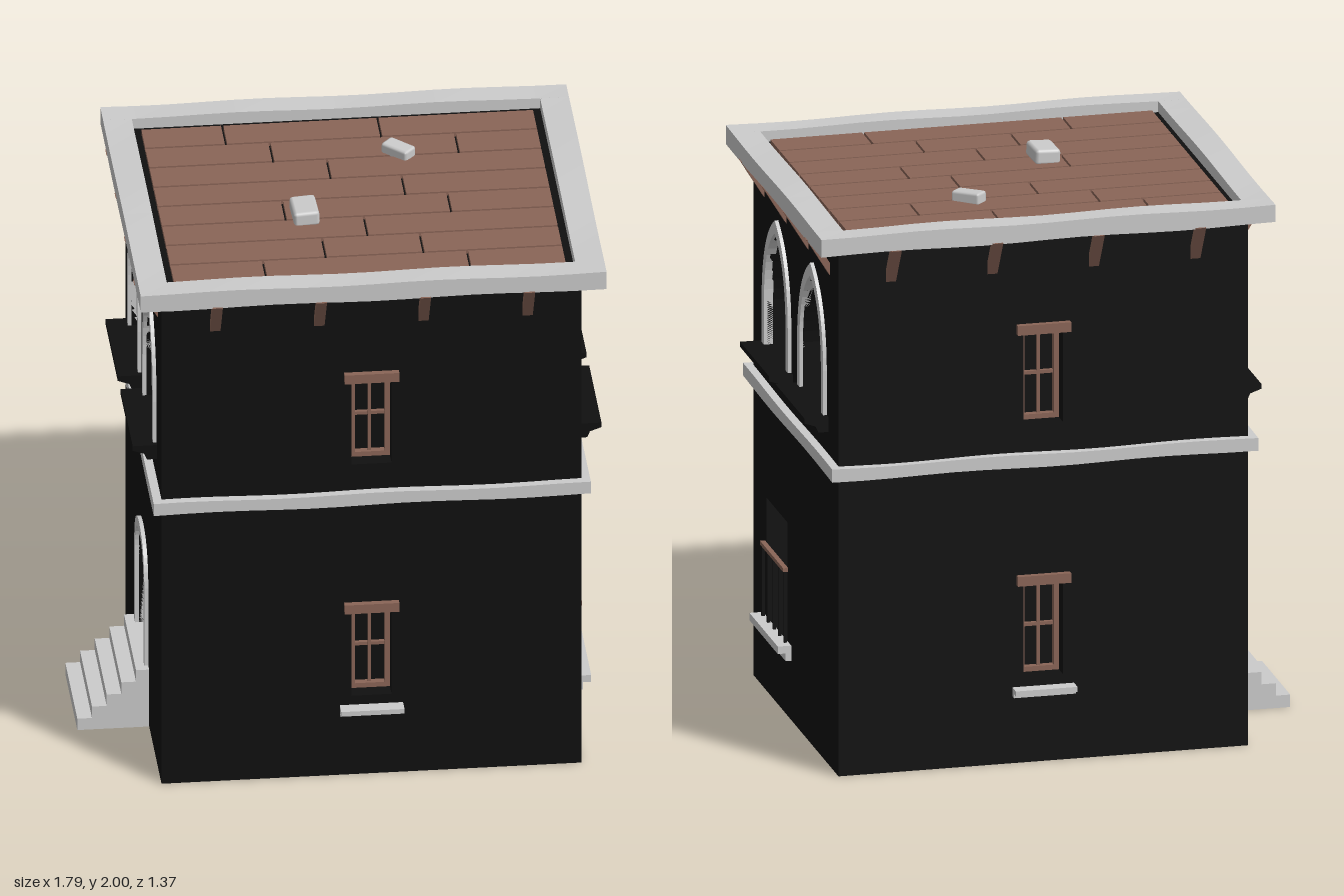
import * as THREE from 'three';
import { RoundedBoxGeometry } from 'three/addons/geometries/RoundedBoxGeometry.js';

const stone = new THREE.MeshStandardMaterial({ color: 0xcccccc });
const wood = new THREE.MeshStandardMaterial({ color: 0x8a6557 });
const dark = new THREE.MeshStandardMaterial({ color: 0x101010 });
const darkThin = new THREE.MeshStandardMaterial({ color: 0x101010, side: THREE.DoubleSide });

const HX = 0.73, HZ = 0.6, TOP = 1.93, RECESS = 0.08;

function add(parent, name, geo, mat, x = 0, y = 0, z = 0) {
  const m = new THREE.Mesh(geo, mat);
  m.name = name;
  m.position.set(x, y, z);
  parent.add(m);
  return m;
}

// Box given by its limits
function box(parent, name, mat, x0, x1, y0, y1, z0, z1) {
  return add(parent, name, new THREE.BoxGeometry(x1 - x0, y1 - y0, z1 - z0), mat,
    (x0 + x1) / 2, (y0 + y1) / 2, (z0 + z1) / 2);
}

// Side profile [outward, height] run along a wall for the given width
function moulding(parent, name, mat, profile, width, x) {
  const s = new THREE.Shape(profile.map(p => new THREE.Vector2(...p)));
  const g = new THREE.ExtrudeGeometry(s, { depth: width, bevelEnabled: false });
  g.translate(0, 0, -width / 2).rotateY(-Math.PI / 2);
  return add(parent, name, g, mat, x);
}

// Outlines for openings
function rect(c, h, y0, y1) {
  return [[-h, y0], [h, y0], [h, y1], [-h, y1]].map(p => new THREE.Vector2(c + p[0], p[1]));
}
function arch(c, h, y0, spring, top, cx, cy) {
  const s = new THREE.Shape();
  s.moveTo(c - h, y0);
  s.lineTo(c + h, y0);
  s.lineTo(c + h, spring);
  s.quadraticCurveTo(c + cx, cy, c, top);
  s.quadraticCurveTo(c - cx, cy, c - h, spring);
  return s.getPoints(10);
}

// Flat border between two outlines
function border(parent, name, mat, outer, inner, z, depth) {
  const s = new THREE.Shape(outer);
  s.holes.push(new THREE.Path(inner));
  return add(parent, name, new THREE.ExtrudeGeometry(s, { depth, bevelEnabled: false }), mat, 0, 0, z);
}

// Recess behind an opening: side faces and a back panel
function recess(parent, pts) {
  const pos = [];
  pts.forEach((a, i) => {
    const b = pts[(i + 1) % pts.length], d = -RECESS;
    pos.push(a.x, a.y, 0, a.x, a.y, d, b.x, b.y, d, a.x, a.y, 0, b.x, b.y, d, b.x, b.y, 0);
  });
  const g = new THREE.BufferGeometry();
  g.setAttribute('position', new THREE.Float32BufferAttribute(pos, 3));
  g.computeVertexNormals();
  add(parent, 'reveal', g, darkThin);
  add(parent, 'pane', new THREE.ShapeGeometry(new THREE.Shape(pts)), darkThin, 0, 0, -RECESS);
}

// Wall facing local +z, with openings cut through
function makeWall(root, name, half, dist, angle, openings) {
  const wall = new THREE.Group();
  wall.name = name;
  wall.rotation.y = angle;
  wall.position.set(Math.sin(angle) * dist, 0, Math.cos(angle) * dist);
  root.add(wall);
  const s = new THREE.Shape(rect(0, half, 0, TOP));
  openings.forEach(o => { s.holes.push(new THREE.Path(o)); recess(wall, o); });
  add(wall, 'wallFace', new THREE.ShapeGeometry(s), darkThin);

  // Slanted eave brackets
  const step = half === HX ? 0.362 : 0.31;
  for (let i = -1.5; i <= 1.5; i++)
    moulding(wall, 'eaveBracket', wood, [[0, 1.78], [0.083, 1.915], [0.055, 1.915], [0, 1.825]], 0.036, i * step);
  return wall;
}

function smallWindow(wall, y0, y1) {
  border(wall, 'windowFrame', wood, rect(0, 0.07, y0, y1), rect(0, 0.052, y0 + 0.018, y1 - 0.01), -RECESS, 0.025);
  const m = (y0 + y1) / 2;
  box(wall, 'windowBar', wood, -0.006, 0.006, y0, y1, -RECESS, -0.065);
  box(wall, 'windowBar', wood, -0.06, 0.06, m - 0.006, m + 0.006, -RECESS, -0.066);
  box(wall, 'lintel', wood, -0.095, 0.095, y1, y1 + 0.035, -0.02, 0.022);
}

function archWindow(wall, c) {
  border(wall, 'archSurround', stone, arch(c, 0.185, 1.25, 1.42, 1.757, 0.18, 1.66),
    arch(c, 0.152, 1.252, 1.42, 1.71, 0.147, 1.63), -0.02, 0.033);
  for (const y of [1.34, 1.445, 1.55])
    box(wall, 'windowBar', wood, c - 0.122, c + 0.122, y - 0.007, y + 0.007, -RECESS, -0.06);
  box(wall, 'windowBar', wood, c - 0.007, c + 0.007, 1.25, 1.56, -RECESS, -0.062);
  for (const s of [-1, 1]) {
    const curve = new THREE.QuadraticBezierCurve3(new THREE.Vector3(c, 1.55, -0.07),
      new THREE.Vector3(c + s * 0.012, 1.605, -0.07), new THREE.Vector3(c + s * 0.065, 1.63, -0.07));
    add(wall, 'tracery', new THREE.TubeGeometry(curve, 8, 0.006, 4), wood);
  }
  moulding(wall, 'archSill', dark,
    [[-0.02, 1.205], [0.035, 1.205], [0.045, 1.228], [0.085, 1.242], [0.085, 1.26], [-0.02, 1.26]], 0.41, c);
}

// Four stone beams around the building, gently uneven
function stoneRing(root, name, ox, oz, ix, iz, y0, y1) {
  const wobbly = (x0, x1, z0, z1) => {
    let g = new THREE.BoxGeometry(x1 - x0, y1 - y0, z1 - z0, x1 - x0 > 1 ? 14 : 1, 1, x1 - x0 > 1 ? 1 : 12);
    g.translate((x0 + x1) / 2, (y0 + y1) / 2, (z0 + z1) / 2);
    const p = g.attributes.position;
    for (let i = 0; i < p.count; i++) {
      const x = p.getX(i), y = p.getY(i), z = p.getZ(i);
      p.setY(i, y + 0.003 * Math.sin(9 * x + 6 * z + 20 * y));
    }
    g = g.toNonIndexed();
    g.computeVertexNormals();
    add(root, name, g, stone);
  };
  for (const s of [-1, 1]) {
    wobbly(-ox, ox, Math.min(s * iz, s * oz), Math.max(s * iz, s * oz));
    wobbly(Math.min(s * ix, s * ox), Math.max(s * ix, s * ox), -iz, iz);
  }
}

export function createModel() {
  const model = new THREE.Group();
  model.name = 'tower house';
  const house = new THREE.Group();
  house.name = 'house';
  house.position.x = 0.08;
  model.add(house);

  // Front and back walls with narrow windows
  const rows = [[0.31, 0.645], [1.225, 1.555]];
  for (const [name, a] of [['frontWall', 0], ['backWall', Math.PI]]) {
    const wall = makeWall(house, name, HX, HZ, a, rows.map(r => rect(0, 0.07, ...r)));
    rows.forEach(r => smallWindow(wall, ...r));
    moulding(wall, 'windowSill', stone,
      [[-0.02, 0.243], [0.025, 0.243], [0.025, 0.257], [0.05, 0.257], [0.05, 0.275], [-0.02, 0.275]], 0.22, 0);
  }

  // Side walls with pairs of pointed windows
  const pointed = c => arch(c, 0.152, 1.252, 1.42, 1.71, 0.147, 1.63);
  const doorway = arch(-0.01, 0.14, 0.01, 0.53, 0.66, 0.135, 0.655);
  const balconyDoor = rect(-0.267, 0.15, 0.27, 0.7);
  const left = makeWall(house, 'leftWall', HZ, HX, Math.PI / 2, [pointed(-0.25), pointed(0.25), balconyDoor]);
  const right = makeWall(house, 'rightWall', HZ, HX, -Math.PI / 2, [pointed(-0.25), pointed(0.25), doorway]);
  for (const wall of [left, right]) for (const c of [-0.25, 0.25]) archWindow(wall, c);

  // Balcony ledge and railing
  moulding(left, 'balconyLedge', stone,
    [[-0.02, 0.215], [0.02, 0.215], [0.02, 0.243], [0.048, 0.243], [0.048, 0.27], [-0.02, 0.27]], 0.4, -0.267);
  box(left, 'handrail', wood, -0.43, -0.102, 0.527, 0.541, 0.002, 0.02);
  for (let i = 0; i < 5; i++) {
    const x = -0.425 + i * 0.079;
    box(left, 'baluster', dark, x - 0.005, x + 0.005, 0.265, 0.53, 0.005, 0.016);
  }

  // Doorway surround and stone steps
  border(right, 'doorSurround', stone, arch(-0.01, 0.17, 0.2, 0.53, 0.695, 0.165, 0.69),
    arch(-0.01, 0.14, 0.201, 0.53, 0.66, 0.135, 0.655), -0.02, 0.034);
  const steps = [[-0.02, 0], [0.25, 0]];
  for (let i = 0; i < 5; i++)
    steps.push([0.25 - i * 0.051, 0.045 * (i + 1)], [i < 4 ? 0.199 - i * 0.051 : -0.02, 0.045 * (i + 1)]);
  moulding(right, 'entranceSteps', stone, steps, 0.4, -0.01);

  // Stone bands
  stoneRing(house, 'middleBand', 0.76, 0.63, 0.71, 0.58, 1.078, 1.123);
  stoneRing(house, 'roofEdge', 0.81, 0.675, 0.71, 0.585, 1.912, 1.977);

  // Roof deck and planks
  box(house, 'roofDeck', dark, -0.72, 0.72, 1.92, 1.935, -0.59, 0.59);
  const joints = [[-0.32, 0.22], [-0.17, 0.475], [0.015], [0.26], [-0.17, 0.405], [0.1], [-0.06, 0.28], [-0.28, 0.43]];
  joints.forEach((row, r) => {
    const z = -0.55 + r * 0.139, ends = [-0.605, ...row, 0.765];
    for (let i = 0; i + 1 < ends.length; i++)
      box(model, 'roofPlank', wood, ends[i] + 0.004, ends[i + 1] - 0.004, 1.93, 1.952, z + 0.005, z + 0.134);
  });

  // Loose stones on the roof
  const a = add(model, 'looseStone', new RoundedBoxGeometry(0.09, 0.055, 0.135, 1, 0.012), stone, -0.103, 1.972, 0.123);
  a.rotation.set(0, 0.03, 0.05);
  const b = add(model, 'looseStone', new RoundedBoxGeometry(0.11, 0.045, 0.06, 1, 0.01), stone, 0.266, 1.965, -0.287);
  b.rotation.set(0.05, -0.75, 0);
  return model;
}
